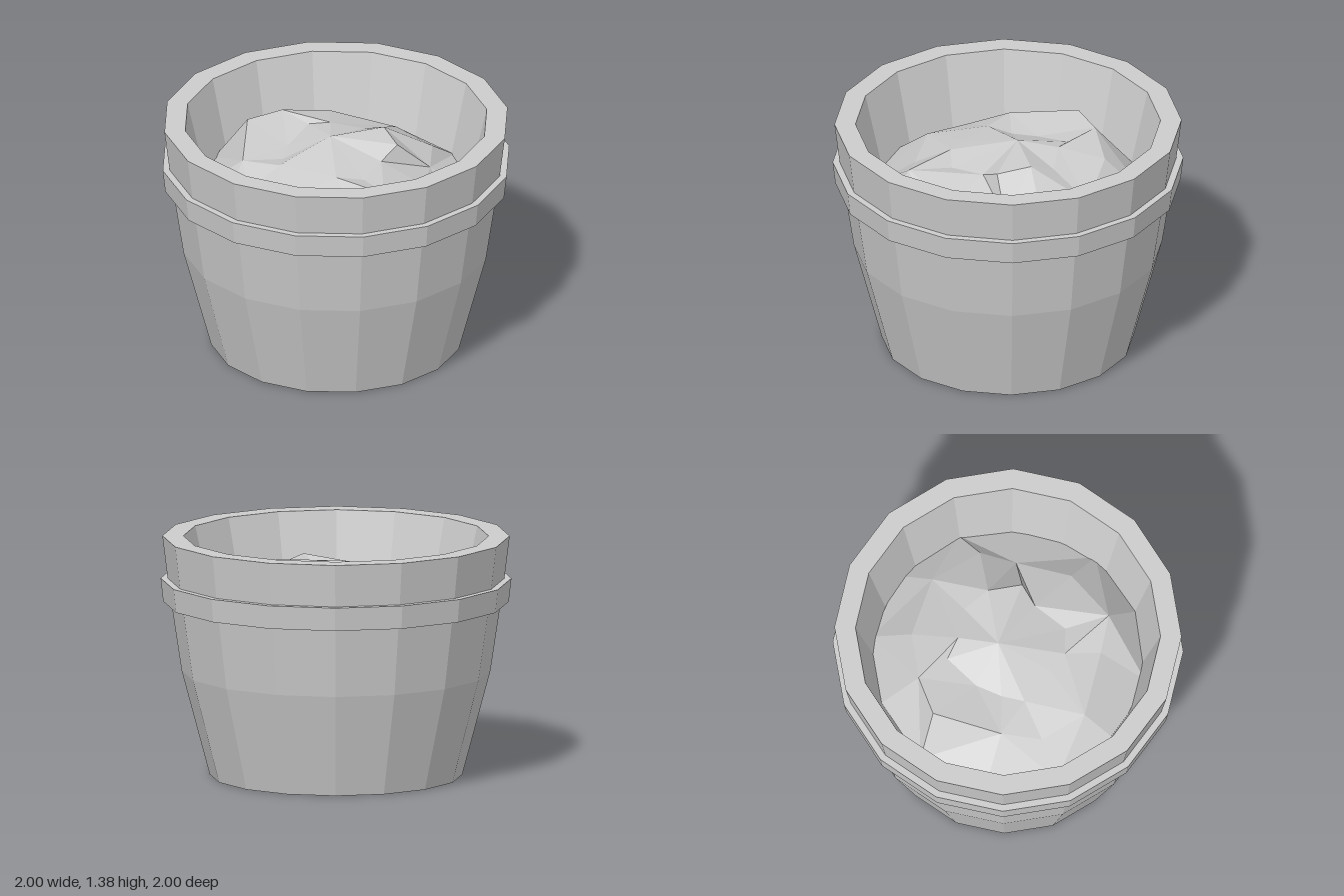
import * as THREE from 'three';

const grey = new THREE.MeshStandardMaterial({ color: 0xcccccc, flatShading: true });
grey.name = 'grey';

const SIDES = 16;

// Faceted turned part from [radius, height] pairs
function turned(name, profile) {
  const points = profile.map(([r, y]) => new THREE.Vector2(r, y));
  const mesh = new THREE.Mesh(new THREE.LatheGeometry(points, SIDES), grey);
  mesh.name = name;
  return mesh;
}

// Lumpy earth: a centre point and rings of heights, starting at +x and turning towards +z
function soilGeometry() {
  const rings = [
    { r: 0.32, y: [1.25, 1.23, 1.17, 1.15, 1.18, 1.18, 1.17, 1.14, 1.15, 1.19, 1.22, 1.18] },
    { r: 0.57, y: [1.08, 1.05, 1.10, 1.18, 1.12, 1.10, 1.08, 1.15, 1.21, 1.21, 1.16, 1.08] },
    { r: 0.79, y: [0.95, 0.93, 0.94, 0.95, 0.93, 0.95, 0.94, 0.96, 0.95, 0.93, 0.95, 0.94] },
  ];
  const n = 12;
  const positions = [0, 1.25, -0.06];
  rings.forEach(({ r, y }, ring) => {
    for (let i = 0; i < n; i++) {
      // Inner rings wander a little so the lumps look irregular
      const wobble = ring < 2 ? Math.sin(i * 2.3 + ring * 1.7) : 0;
      const a = (i / n) * Math.PI * 2 + wobble * 0.1;
      const radius = r + wobble * 0.04;
      positions.push(Math.cos(a) * radius, y[i], Math.sin(a) * radius);
    }
  });
  const index = [];
  for (let i = 0; i < n; i++) {
    const j = (i + 1) % n;
    index.push(0, 1 + j, 1 + i);
    for (let k = 0; k < rings.length - 1; k++) {
      const a = 1 + k * n + i, b = 1 + k * n + j;
      const c = a + n, d = b + n;
      if ((i + k) % 2) index.push(a, b, c, b, d, c);
      else index.push(a, b, d, a, d, c);
    }
  }
  const geometry = new THREE.BufferGeometry();
  geometry.setAttribute('position', new THREE.Float32BufferAttribute(positions, 3));
  geometry.setIndex(index);
  geometry.computeVertexNormals();
  return geometry;
}

export function createModel() {
  const group = new THREE.Group();
  group.name = 'flowerPot';

  // Recessed base, foot and tapering wall
  group.add(turned('potBody', [[0, 0.08], [0.63, 0.08], [0.63, 0], [0.72, 0], [0.88, 0.6], [0.94, 1.0]]));
  // Raised band round the wall
  group.add(turned('band', [[0.94, 1.0], [0.985, 1.0], [1.0, 1.135], [0.96, 1.135]]));
  // Flared rim with its inner wall
  group.add(turned('rim', [[0.96, 1.135], [0.99, 1.38], [0.87, 1.38], [0.75, 0.86]]));

  const soil = new THREE.Mesh(soilGeometry(), grey);
  soil.name = 'soil';
  group.add(soil);

  return group;
}
